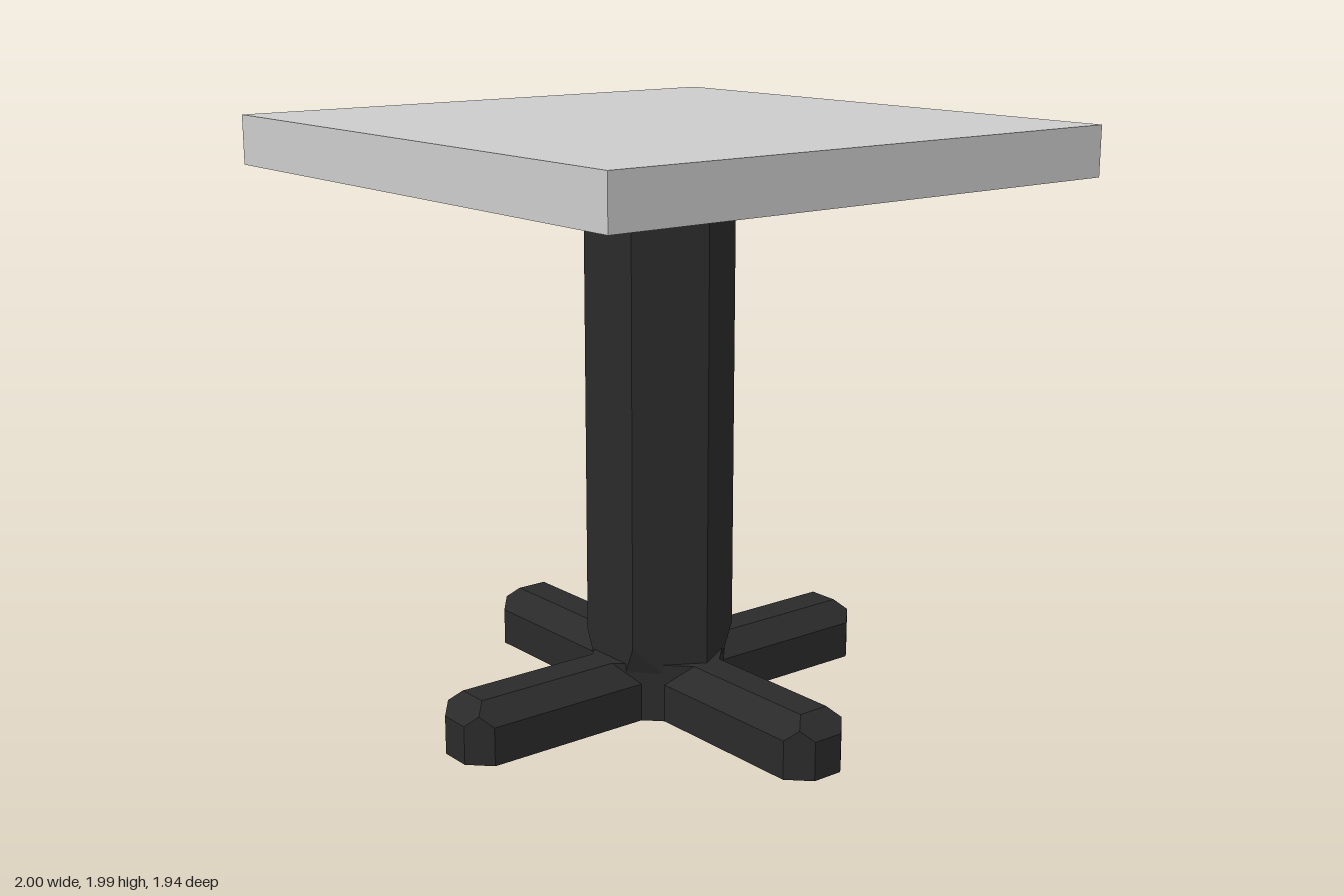
import * as THREE from 'three';

const dark = new THREE.MeshStandardMaterial({ color: 0x2a2a2a, flatShading: true });
const grey = new THREE.MeshStandardMaterial({ color: 0xcccccc, flatShading: true });

// Closed solid through horizontal rings, each { y, pts: [[x, z], ...] } running from +x towards +z
function loft(rings) {
  const pos = [];
  const tri = (...corners) => {
    const [a, b, c] = corners.map((p) => new THREE.Vector3(...p));
    if (b.clone().sub(a).cross(c.clone().sub(a)).length() < 1e-7) return;
    for (const p of corners) pos.push(...p);
  };
  const at = (ring, i) => {
    const [x, z] = ring.pts[i % ring.pts.length];
    return [x, ring.y, z];
  };
  for (let r = 0; r < rings.length - 1; r++) {
    const lo = rings[r], hi = rings[r + 1];
    for (let i = 0; i < lo.pts.length; i++) {
      tri(at(lo, i), at(hi, i), at(lo, i + 1));
      tri(at(lo, i + 1), at(hi, i), at(hi, i + 1));
    }
  }
  const cap = (ring, up) => {
    const outline = ring.pts.map(([x, z]) => new THREE.Vector2(x, z));
    for (const [a, b, c] of THREE.ShapeUtils.triangulateShape(outline, [])) {
      if (up) tri(at(ring, a), at(ring, c), at(ring, b));
      else tri(at(ring, a), at(ring, b), at(ring, c));
    }
  };
  cap(rings[0], false);
  cap(rings[rings.length - 1], true);
  const geo = new THREE.BufferGeometry();
  geo.setAttribute('position', new THREE.Float32BufferAttribute(pos, 3));
  geo.computeVertexNormals();
  return geo;
}

// Outline of the four-footed cross, shrunk by d; corner chamfers close up as d grows
function crossRing(y, d) {
  const w = 0.125 - d, l = 0.84 - d, c = Math.max(0, 0.07 - 2 * d), inner = 0.305;
  const quarter = [[l, w - c], [l - c, w], [inner - w, w], [w, inner - w], [w, l - c], [w - c, l]];
  const pts = [];
  for (let k = 0; k < 4; k++) {
    for (let [x, z] of quarter) {
      for (let n = 0; n < k; n++) [x, z] = [-z, x];
      pts.push([x, z]);
    }
  }
  return { y, pts };
}

// Hexagon outline whose four front and back corners can be cut off
function columnRing(y, cut) {
  const h = 0.217;
  const a = cut ? [0.175, 0.13] : [0.125, h];
  const b = cut ? [0.088, h] : [0.125, h];
  const half = [[0.25, 0], a, b, [-b[0], b[1]], [-a[0], a[1]]];
  return { y, pts: [...half, ...half.map(([x, z]) => [-x, -z])] };
}

export function createModel() {
  const model = new THREE.Group();
  const add = (name, geo, mat) => {
    const mesh = new THREE.Mesh(geo, mat);
    mesh.name = name;
    model.add(mesh);
    return mesh;
  };

  // Bevelled cross base
  add('crossBase', loft([
    crossRing(0, 0), crossRing(0.13, 0), crossRing(0.165, 0.035), crossRing(0.2, 0.07),
  ]), dark);

  // Hexagonal column, its corners cut where it meets the base
  add('column', loft([
    columnRing(0.05, true), columnRing(0.17, true), columnRing(0.26, false), columnRing(1.82, false),
  ]), dark);

  // Slab top
  add('tableTop', new THREE.BoxGeometry(2, 0.165, 1.94), grey).position.y = 1.9025;

  return model;
}
